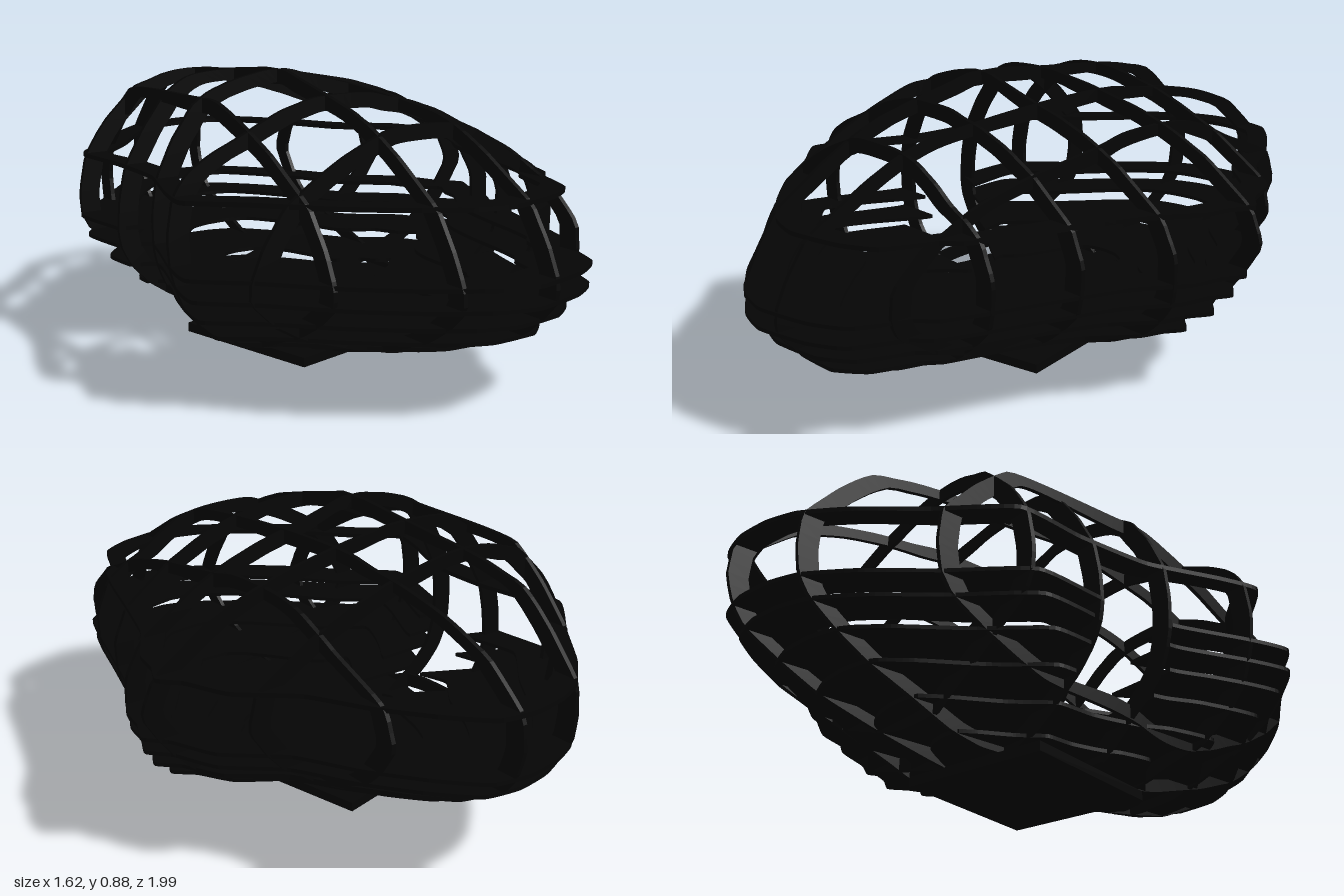
import * as THREE from 'three';

const material = new THREE.MeshStandardMaterial({ color: 0x050505, side: THREE.DoubleSide });

// Plan outline at its widest (x, z)
const plan = new THREE.CatmullRomCurve3([
  [0.13, -0.99], [0.25, -0.98], [0.36, -0.93], [0.44, -0.8], [0.52, -0.62], [0.58, -0.42],
  [0.7, -0.25], [0.73, -0.1], [0.77, -0.02], [0.72, 0.05], [0.68, 0.14], [0.55, 0.28], [0.42, 0.5],
  [0.33, 0.66], [0.26, 0.77], [0.2, 0.81], [0.1, 0.95], [-0.02, 0.99], [-0.2, 0.99], [-0.32, 0.93],
  [-0.45, 0.8], [-0.58, 0.63], [-0.7, 0.42], [-0.81, 0.26], [-0.75, 0.12], [-0.62, -0.1],
  [-0.55, -0.36], [-0.51, -0.6], [-0.3, -0.75], [-0.12, -0.89], [0.02, -0.97],
].map(([x, z]) => new THREE.Vector3(x, 0, z)), true, 'catmullrom', 0.25).getPoints(248).slice(0, -1);

// Extents of the body by height: y, xMin, xMax, zMin, zMax
const extents = [
  [0.045, -0.35, 0.18, -0.36, 0.27],
  [0.075, -0.45, 0.25, -0.47, 0.47], [0.14, -0.61, 0.48, -0.62, 0.74],
  [0.2, -0.72, 0.62, -0.76, 0.88], [0.265, -0.78, 0.7, -0.86, 0.95],
  [0.33, -0.8, 0.75, -0.94, 1], [0.39, -0.81, 0.78, -0.98, 1],
  [0.48, -0.8, 0.81, -1, 0.96], [0.585, -0.76, 0.77, -0.99, 0.89],
  [0.7, -0.65, 0.6, -0.88, 0.7], [0.76, -0.57, 0.46, -0.81, 0.58],
  [0.8, -0.51, 0.33, -0.75, 0.46], [0.84, -0.42, 0.14, -0.58, 0.27],
  [0.87, -0.33, -0.02, -0.25, 0.12], [0.89, -0.23, -0.14, -0.06, 0.05],
];

// Outline of the body at height y; low levels are pulled in between the axes
function sectionAt(y) {
  let k = 0;
  while (k < extents.length - 2 && extents[k + 1][0] < y) k++;
  const a = extents[k], b = extents[k + 1];
  const t = (y - a[0]) / (b[0] - a[0]);
  const [, x0, x1, z0, z1] = a.map((v, i) => v + (b[i] - v) * t);
  const pull = 0.12 * THREE.MathUtils.clamp((0.33 - y) / 0.19, 0, 1);
  return plan.map((p) => {
    const u = (p.x + 0.02) / 0.79, v = p.z / 0.99;
    const s = 1 - pull * Math.abs(2 * u * v) / (u * u + v * v);
    return new THREE.Vector3(
      (x0 + x1) / 2 + u * s * (x1 - x0) / 2, y, (z0 + z1) / 2 + v * s * (z1 - z0) / 2);
  });
}

// The rib grid is turned a little from the main axes
const U = new THREE.Vector3(0.976, 0, 0.217);
const V = new THREE.Vector3(-0.217, 0, 0.976);
const doorU = -0.445, doorV = [-0.22, 0.04];

// Move a loop towards its middle by a width, less so vertically
function inset(loop, width) {
  const c = new THREE.Box3().setFromPoints(loop).getCenter(new THREE.Vector3());
  return loop.map((p) => {
    const d = c.clone().sub(p).normalize().multiplyScalar(width);
    d.y *= 0.7;
    return p.clone().add(d);
  });
}

// Flat band between two loops, thickened by +-half; keep(p) may leave a gap
function band(outer, inner, half, keep = () => true) {
  const pos = [], idx = [], n = outer.length;
  for (let i = 0; i < n; i++) {
    for (const [p, s] of [[outer[i], 1], [inner[i], 1], [inner[i], -1], [outer[i], -1]]) {
      const q = p.clone().addScaledVector(half, s);
      pos.push(q.x, q.y, q.z);
    }
  }
  const kept = (i) => keep(outer[(i + n) % n]) && keep(outer[(i + 1 + n) % n]);
  for (let i = 0; i < n; i++) {
    if (!kept(i)) continue;
    const a = i * 4, b = ((i + 1) % n) * 4;
    for (let j = 0; j < 4; j++) {
      const k = (j + 1) % 4;
      idx.push(a + j, b + j, b + k, a + j, b + k, a + k);
    }
    if (!kept(i - 1)) idx.push(a, a + 1, a + 2, a, a + 2, a + 3);
    if (!kept(i + 1)) idx.push(b, b + 2, b + 1, b, b + 3, b + 2);
  }
  const g = new THREE.BufferGeometry();
  g.setAttribute('position', new THREE.Float32BufferAttribute(pos, 3));
  g.setIndex(idx);
  const flat = g.toNonIndexed();
  flat.computeVertexNormals();
  return flat;
}

// Vertical slice through the body where (normal . p) = offset
function slice(normal, along, offset) {
  const low = [], high = [];
  for (let i = 0; i <= 48; i++) {
    const y = 0.05 + 0.838 * (0.5 - 0.5 * Math.cos(Math.PI * i / 48));
    const pts = sectionAt(y);
    const hits = [];
    pts.forEach((p, j) => {
      const q = pts[(j + 1) % pts.length];
      const dp = p.dot(normal) - offset, dq = q.dot(normal) - offset;
      if (dp * dq < 0) hits.push(p.clone().lerp(q, dp / (dp - dq)));
    });
    if (hits.length < 2) continue;
    hits.sort((p, q) => p.dot(along) - q.dot(along));
    low.push(hits[0]);
    high.push(hits[hits.length - 1]);
  }
  const loop = [...low, ...high.reverse()];
  return new THREE.CatmullRomCurve3(loop, true).getSpacedPoints(120).slice(0, -1);
}

export function createModel() {
  const model = new THREE.Group();
  const add = (name, geometry) => {
    const mesh = new THREE.Mesh(geometry, material);
    mesh.name = name;
    model.add(mesh);
    return mesh;
  };

  // Closed vertical ribs in both directions of the grid
  const ribs = (name, normal, along, offsets) => offsets.forEach((o) => {
    const loop = slice(normal, along, o);
    add(name, band(loop, inset(loop, 0.065), normal.clone().multiplyScalar(0.007)));
  });
  ribs('crossRib', V, U, [-0.48, -0.22, 0.04, 0.3, 0.56]);
  ribs('longRib', U, V, [-0.445, -0.18, 0.09, 0.355]);

  // Solid floor plates
  for (const y of [0.069, 0.134]) {
    const shape = new THREE.Shape(sectionAt(y).map((p) => new THREE.Vector2(p.x, -p.z)));
    const g = new THREE.ExtrudeGeometry(shape, { depth: 0.012, bevelEnabled: false });
    g.rotateX(-Math.PI / 2);
    add('floorPlate', g).position.y = y;
  }

  // Square foot, with short posts where the ribs stand on it
  add('footPlate', new THREE.BoxGeometry(0.49, 0.03, 0.53)).position.set(-0.055, 0.02, -0.045);
  for (const u of [-0.18, 0.09]) {
    for (const v of [-0.22, 0.04]) {
      const post = add('footPost', new THREE.BoxGeometry(0.014, 0.05, 0.014));
      post.position.addScaledVector(U, u).addScaledVector(V, v).setY(0.05);
    }
  }

  // Horizontal shelf rings, open at the doorway
  const outsideDoor = (p) => {
    const u = p.dot(U), v = p.dot(V);
    return u > doorU || v < doorV[0] || v > doorV[1];
  };
  for (const [y, w] of [[0.2, 0.32], [0.265, 0.24], [0.33, 0.16], [0.39, 0.13]]) {
    const loop = sectionAt(y);
    add('shelfRing', band(loop, inset(loop, w), new THREE.Vector3(0, 0.006, 0), outsideDoor));
  }

  // Upper ring runs on over the doorway
  const upper = sectionAt(0.585);
  add('upperRing', band(upper, inset(upper, 0.08), new THREE.Vector3(0, 0.007, 0)));

  return model;
}
